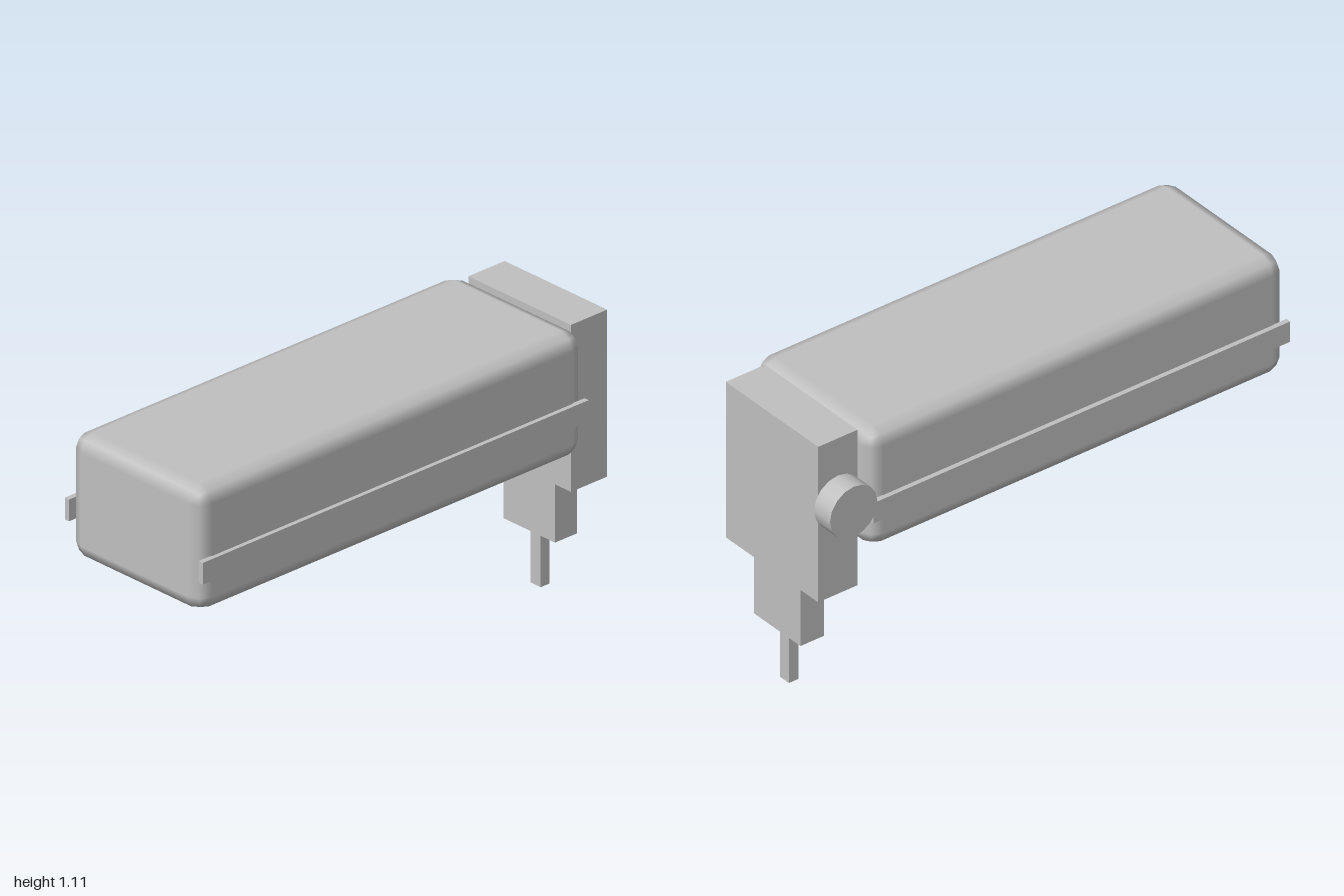
import * as THREE from 'three';
import { RoundedBoxGeometry } from 'three/addons/geometries/RoundedBoxGeometry.js';

export function createModel() {
  const model = new THREE.Group();
  const grey = new THREE.MeshStandardMaterial({ color: 0xc0c0c0 });
  grey.name = 'grey';

  function add(name, geometry, x, y, z) {
    const mesh = new THREE.Mesh(geometry, grey);
    mesh.name = name;
    mesh.position.set(x, y, z);
    model.add(mesh);
    return mesh;
  }

  // Box given by its extents, centred on z unless moved
  function block(name, x0, x1, y0, y1, z0, z1) {
    return add(name, new THREE.BoxGeometry(x1 - x0, y1 - y0, z1 - z0),
      (x0 + x1) / 2, (y0 + y1) / 2, (z0 + z1) / 2);
  }

  // Long arm with coarse rounded edges
  add('arm', new RoundedBoxGeometry(1.81, 0.475, 0.65, 1, 0.06), -0.095, 0.876, 0.001);

  // Rails along both sides of the arm
  block('frontRail', -1, 0.81, 0.772, 0.855, 0.322, 0.343);
  block('backRail', -1, 0.81, 0.772, 0.855, -0.343, -0.322);

  // Head stepping down to the tool
  block('head', 0.81, 0.98, 0.473, 1.11, -0.255, 0.255);
  block('toolHolder', 0.855, 0.957, 0.218, 0.473, -0.128, 0.128);
  block('toolTip', 0.885, 0.926, 0, 0.218, -0.025, 0.025);

  // Round knob on the back of the head
  const knob = new THREE.CylinderGeometry(0.103, 0.103, 0.088, 16);
  knob.rotateX(Math.PI / 2);
  add('knob', knob, 0.895, 0.855, -0.299);

  return model;
}
